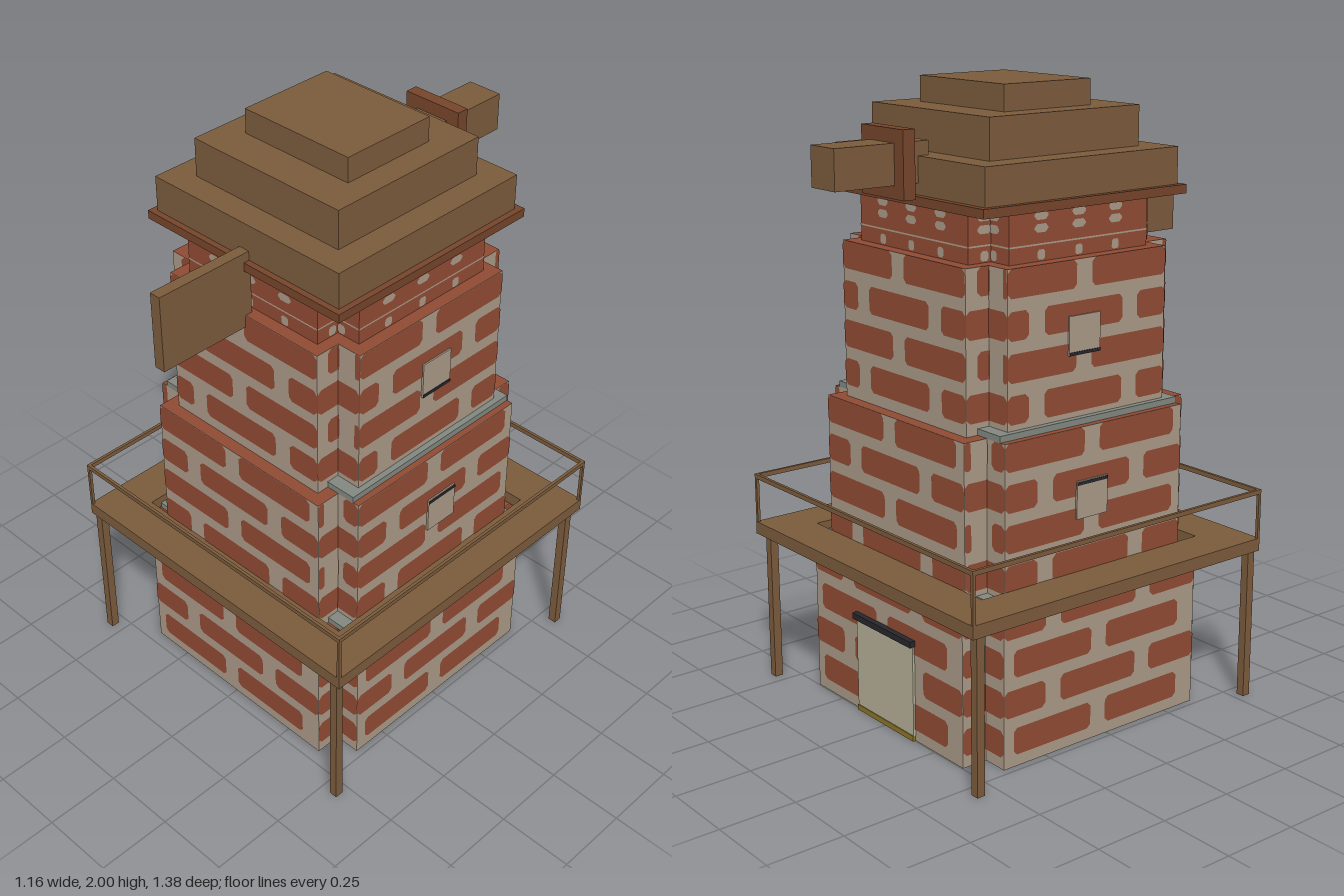
import * as THREE from 'three';
import { mergeGeometries } from 'three/addons/utils/BufferGeometryUtils.js';

const mat = (name, color) => {
  const m = new THREE.MeshStandardMaterial({ color });
  m.name = name;
  return m;
};

export function createModel() {
  const brick = mat('brick red', 0x8f4a33);
  const mortar = mat('mortar tan', 0xa89886);
  const wood = mat('wood brown', 0x7a5a3b);
  const redWood = mat('red wood', 0x74442a);
  const stone = mat('ledge grey', 0x81867f);
  const cream = mat('door cream', 0xb3ad95);
  const dark = mat('dark iron', 0x26262c);
  const ochre = mat('sill ochre', 0x8a7428);

  const root = new THREE.Group();
  const CZ = -0.02; // tower axis in z

  // box given by its min and max on each axis
  const box = (name, m, x0, x1, y0, y1, z0, z1, parent = root) => {
    const mesh = new THREE.Mesh(new THREE.BoxGeometry(x1 - x0, y1 - y0, z1 - z0), m);
    mesh.position.set((x0 + x1) / 2, (y0 + y1) / 2, (z0 + z1) / 2);
    mesh.name = name;
    parent.add(mesh);
    return mesh;
  };

  // flat plate with cut corners, lying in the xy plane
  const plate = (u0, u1, v0, v1, c) => new THREE.ShapeGeometry(new THREE.Shape([
    [u0 + c, v0], [u1 - c, v0], [u1, v0 + c], [u1, v1 - c],
    [u1 - c, v1], [u0 + c, v1], [u0, v1 - c], [u0, v0 + c],
  ].map(([x, y]) => new THREE.Vector2(x, y))));

  // running-bond bricks on a wall of half width h
  const brickWall = (h, y0, y1) => {
    const out = [], pitch = 0.366, gap = 0.06;
    for (let top = y1, row = 0; top > y0 + 0.05; top -= 0.125, row++) {
      const shift = -0.018 + ((row + (y0 === 0 ? 1 : 0)) % 2) * pitch / 2;
      for (let k = -3; k <= 3; k++) {
        const a = Math.max(-h, shift + k * pitch + gap / 2);
        const b = Math.min(h, shift + (k + 1) * pitch - gap / 2);
        if (b - a > 0.015) out.push(plate(a, b, Math.max(y0, top - 0.087), top, Math.min(0.013, (b - a) / 4)));
      }
    }
    return out;
  };

  // mortar flecks on the brick collar under the roof
  const fleckWall = (h, y0) => {
    const out = [plate(-h, h, y0 + 0.048, y0 + 0.053, 0.001)];
    for (let k = -3; k <= 3; k++) {
      const u = -0.005 + k * 0.145;
      if (Math.abs(u) + 0.03 > h) continue;
      out.push(plate(u - 0.026, u + 0.026, y0 + 0.085, y0 + 0.11, 0.01));
      out.push(plate(u - 0.026, u + 0.026, y0 + 0.122, y0 + 0.148, 0.01));
      out.push(plate(u - 0.014, u + 0.014, y0 + 0.005, y0 + 0.035, 0.006));
    }
    return out;
  };

  // one arm of a cross-shaped storey, dressed on its four faces
  const arm = (parent, hx, hz, y0, y1, collar) => {
    const side = collar ? brick : mortar;
    box('wall', [side, side, brick, brick, side, side], -hx, hx, y0, y1, CZ - hz, CZ + hz, parent);
    const faces = [];
    for (let i = 0; i < 4; i++) {
      const [half, dist] = i % 2 ? [hz, hx] : [hx, hz];
      for (const g of (collar ? fleckWall(half, y0) : brickWall(half, y0, y1))) {
        faces.push(g.translate(0, 0, dist + 0.002).rotateY(i * Math.PI / 2).translate(0, 0, CZ));
      }
    }
    const m = new THREE.Mesh(mergeGeometries(faces), collar ? mortar : brick);
    m.name = collar ? 'mortarFlecks' : 'bricks';
    parent.add(m);
  };

  // four storeys, each a crossing of two blocks
  [[0.477, 0.39, 0, 0.5], [0.437, 0.353, 0.5, 1], [0.395, 0.31, 1, 1.5], [0.353, 0.27, 1.5, 1.655]]
    .forEach(([wide, narrow, y0, y1], i) => {
      const storey = new THREE.Group();
      storey.name = 'storey' + (i + 1);
      root.add(storey);
      arm(storey, wide, narrow, y0, y1, i === 3);
      arm(storey, narrow, wide, y0, y1, i === 3);
    });

  // stone ledges on top of the lower storeys
  box('lowerLedge', stone, -0.455, 0.455, 0.5, 0.52, CZ - 0.395, CZ + 0.395);
  box('upperLedge', stone, -0.415, 0.415, 1, 1.02, CZ - 0.353, CZ + 0.353);

  // stepped roof
  box('eaves', redWood, -0.395, 0.395, 1.652, 1.68, -0.415, 0.375);
  box('roofLower', wood, -0.375, 0.375, 1.68, 1.795, -0.393, 0.355);
  box('roofMiddle', wood, -0.29, 0.29, 1.795, 1.92, -0.31, 0.27);
  box('roofTop', wood, -0.206, 0.206, 1.92, 2, -0.188, 0.146);

  // axle with its collar at the back, tail fin at the front
  box('axle', wood, -0.06, 0.06, 1.715, 1.838, -0.685, -0.355);
  box('axleCollar', redWood, -0.105, 0.105, 1.675, 1.88, -0.478, -0.436);
  box('tailFin', wood, -0.019, 0.019, 1.46, 1.71, 0.35, 0.69);

  // gallery deck with an opening for the tower
  const rect = (T, x0, x1, a, b) => new T([[x0, a], [x1, a], [x1, b], [x0, b]].map((p) => new THREE.Vector2(...p)));
  const deckShape = rect(THREE.Shape, -0.58, 0.58, -0.56, 0.605);
  deckShape.holes.push(rect(THREE.Path, -0.437, 0.437, -0.415, 0.46));
  const deck = new THREE.Mesh(
    new THREE.ExtrudeGeometry(deckShape, { depth: 0.042, bevelEnabled: false }).rotateX(-Math.PI / 2), wood);
  deck.position.y = 0.504;
  deck.name = 'galleryDeck';
  root.add(deck);

  // gallery legs, corner uprights and rails
  for (const s of [-1, 1]) {
    for (const t of [-1, 1]) {
      const x = s * 0.55, z = CZ + 0.008 + t * 0.553;
      box('galleryLeg', wood, x - 0.014, x + 0.014, 0, 0.505, z - 0.014, z + 0.014);
      const ux = s * 0.575, uz = CZ - 0.002 + t * 0.577;
      box('railUpright', wood, ux - 0.005, ux + 0.005, 0.545, 0.7, uz - 0.005, uz + 0.005);
    }
    const rx = s * 0.575, rz = CZ - 0.002 + s * 0.577;
    box('sideRail', wood, rx - 0.005, rx + 0.005, 0.695, 0.71, -0.604, 0.56);
    box('crossRail', wood, -0.58, 0.58, 0.695, 0.71, rz - 0.005, rz + 0.005);
  }

  // windows on both sides
  for (const s of [-1, 1]) {
    for (const [x, y, barY] of [[0.437, 0.715, 0.822], [0.395, 1.213, 1.213]]) {
      const w = new THREE.Group();
      w.name = 'window';
      root.add(w);
      const span = (d) => (s > 0 ? [x, x + d] : [-x - d, -x]);
      box('shutter', mortar, ...span(0.007), y, y + 0.12, -0.1, 0.022, w);
      box('windowBar', dark, ...span(0.009), barY, barY + 0.01, -0.1, 0.022, w);
    }
  }

  // door at the back
  box('door', cream, -0.15, 0.15, 0.018, 0.32, -0.505, -0.496);
  box('doorLintel', dark, -0.155, 0.155, 0.315, 0.335, -0.518, -0.496);
  box('doorSill', ochre, -0.15, 0.15, 0, 0.018, -0.508, -0.499);

  return root;
}
